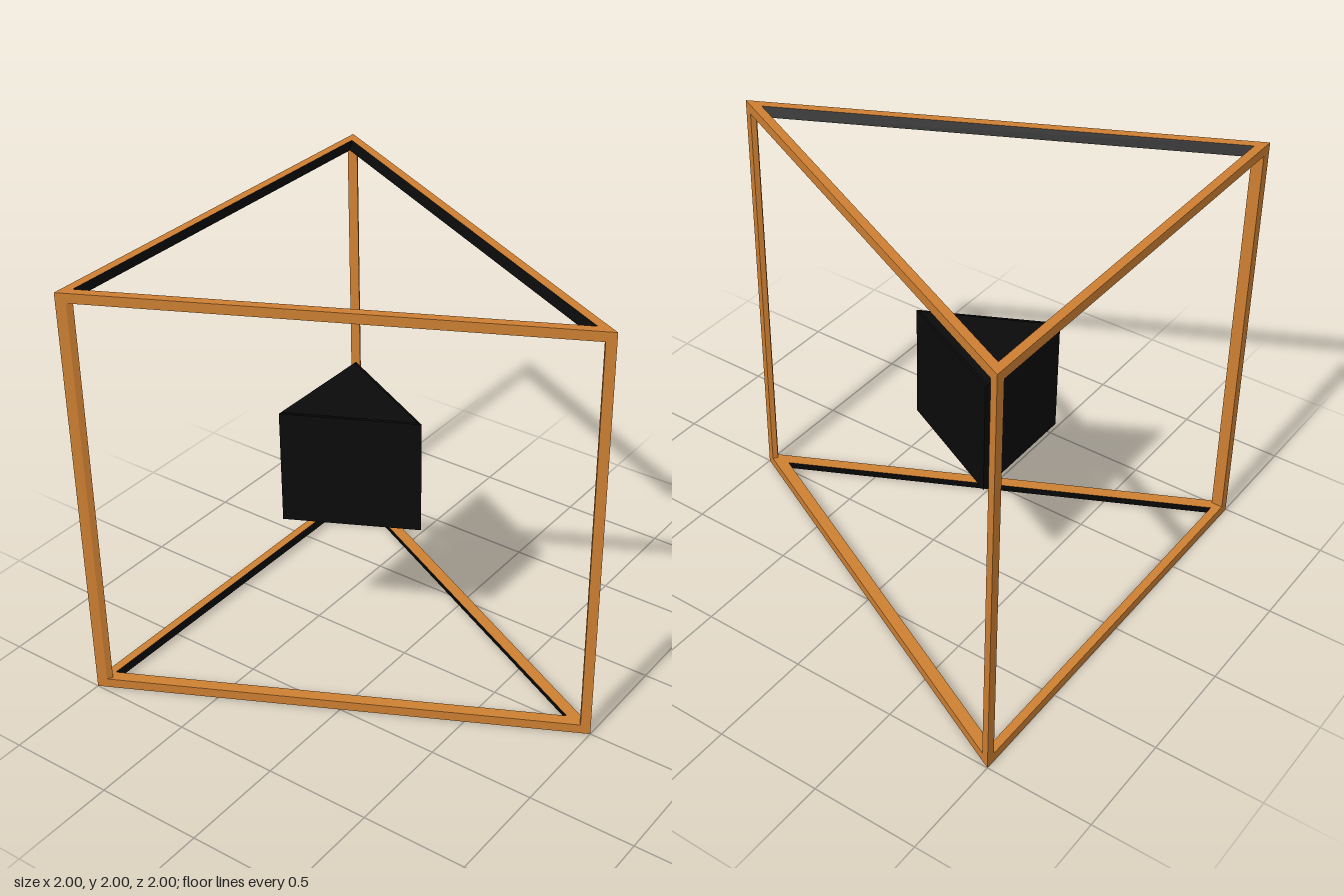
import * as THREE from 'three';

const bronze = new THREE.MeshStandardMaterial({ color: 0xcd7f32, side: THREE.DoubleSide });
bronze.name = 'bronze';
const black = new THREE.MeshStandardMaterial({ color: 0x0a0a0a, side: THREE.DoubleSide });
black.name = 'black';

const BAR = 0.045; // visible width of each frame bar

// Corners of the frame triangle, inset from its slanted sides and its back
function triangle(side, back) {
  const x = (2 - back) / 2 - 1.118 * side;
  return [[-x, -1 + back], [0, 1 - 2.236 * side], [x, -1 + back]];
}

const at = (loop, y) => loop.map(([x, z]) => [x, y, z]);

// Closed band of flat quads between two loops of points
function band(a, b) {
  const pos = [];
  a.forEach((p, i) => {
    const j = (i + 1) % a.length;
    pos.push(...p, ...a[j], ...b[j], ...p, ...b[j], ...b[i]);
  });
  const g = new THREE.BufferGeometry();
  g.setAttribute('position', new THREE.Float32BufferAttribute(pos, 3));
  g.computeVertexNormals();
  return g;
}

function add(parent, name, geometry, material) {
  const m = new THREE.Mesh(geometry, material);
  m.name = name;
  parent.add(m);
}

// Triangular ring of bars: bronze outside, black lining in the opening
function ring(name, y, yInner) {
  const g = new THREE.Group();
  g.name = name;
  const outerEnd = at(triangle(0, 0), y);
  const outerIn = at(triangle(0, 0), yInner);
  const rim = at(triangle(0.04, 0.04), y);
  const inner = at(triangle(0.055, 0.04), yInner);
  const face = (a, b) => (y > yInner ? band(a, b) : band(b, a));
  add(g, 'outerFaces', face(outerIn, outerEnd), bronze);
  add(g, 'rimFace', face(outerEnd, rim), bronze);
  add(g, 'openingLining', face(rim, inner), black);
  add(g, 'innerLedge', face(inner, outerIn), bronze);
  return g;
}

export function createModel() {
  const model = new THREE.Group();
  model.name = 'framedPrism';

  model.add(ring('topRing', 2, 2 - BAR), ring('bottomRing', 0, BAR));

  // Corner posts with a kite-shaped section
  const corners = triangle(0, 0);
  const innerCorners = [[-0.955, -0.945], [0, 0.945], [0.955, -0.945]];
  const names = ['rightRearPost', 'frontPost', 'leftRearPost'];
  const toward = (a, b) => {
    const k = BAR / Math.hypot(b[0] - a[0], b[1] - a[1]);
    return [a[0] + (b[0] - a[0]) * k, a[1] + (b[1] - a[1]) * k];
  };
  corners.forEach((c, i) => {
    const loop = [c, toward(c, corners[(i + 1) % 3]), innerCorners[i], toward(c, corners[(i + 2) % 3])];
    add(model, names[i], band(at(loop, BAR), at(loop, 2 - BAR)), bronze);
  });

  // Floating black core: three walls and two slightly smaller caps
  const core = new THREE.Group();
  core.name = 'core';
  const low = 0.727, high = 1.273;
  const wall = [[-0.28, -0.465], [0, 0.09], [0.28, -0.465]];
  add(core, 'coreWalls', band(at(wall, low), at(wall, high)), black);
  const cap = new THREE.ShapeGeometry(new THREE.Shape(
    [[-0.265, 0.465], [0, -0.07], [0.265, 0.465]].map(([x, y]) => new THREE.Vector2(x, y))));
  cap.rotateX(-Math.PI / 2);
  add(core, 'coreTop', cap.clone().translate(0, high, 0), black);
  // Underside turned over so that it faces down
  const under = cap.clone();
  under.setIndex([...under.index.array].reverse());
  under.computeVertexNormals();
  add(core, 'coreBottom', under.translate(0, low, 0), black);
  model.add(core);

  return model;
}
